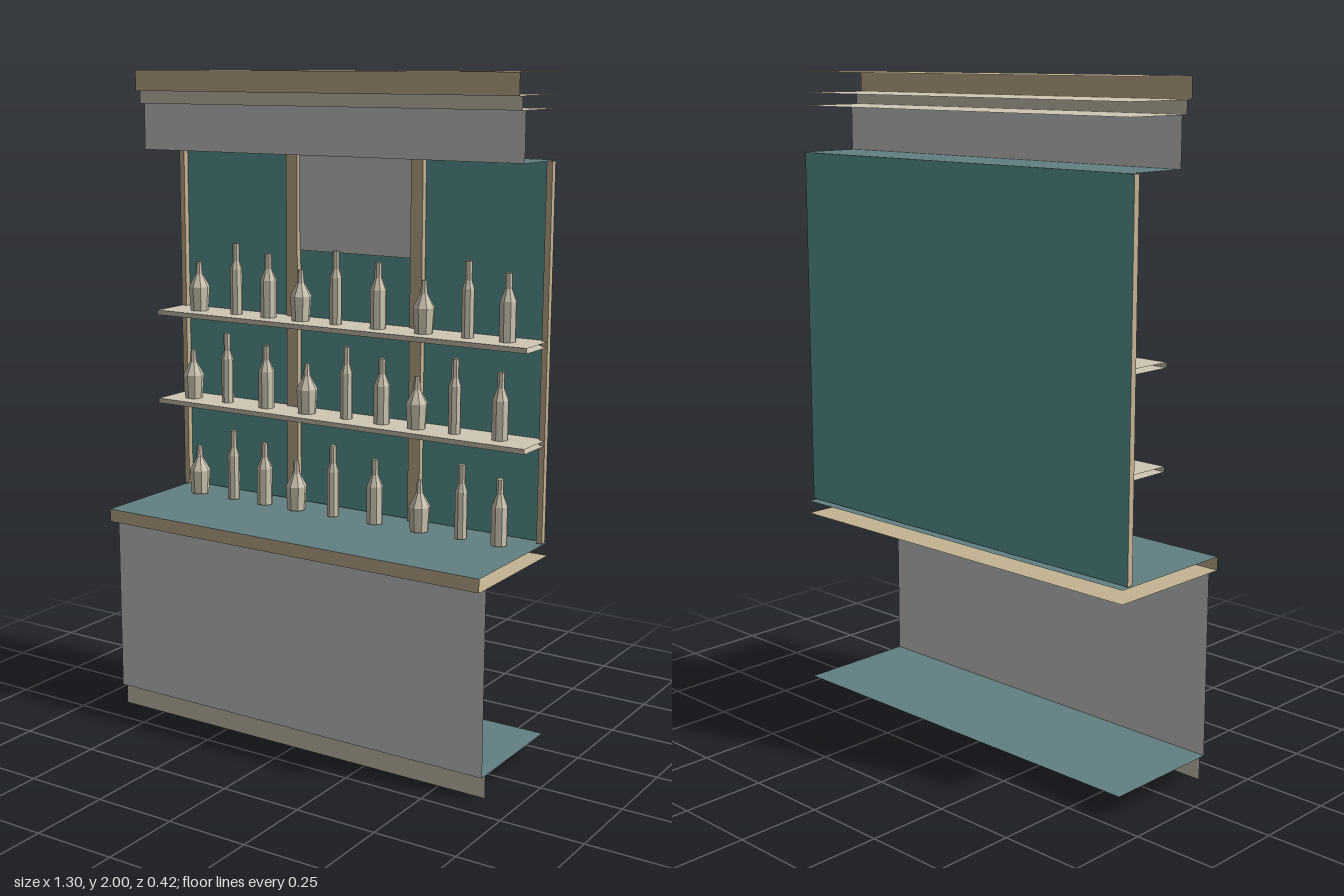
import * as THREE from 'three';

const paint = (name, color) => {
  const m = new THREE.MeshStandardMaterial({ color, side: THREE.DoubleSide, flatShading: true });
  m.name = name;
  return m;
};

export function createModel() {
  const tan = paint('tan wood', 0xc6b494);
  const cream = paint('cream wood', 0xd0c8b4);
  const grey = paint('pale grey', 0xcecece);
  const teal = paint('teal', 0x5d9d99);
  const slate = paint('slate', 0x638082);

  const W = 1.3, BACK = -0.21;
  const model = new THREE.Group();
  model.name = 'barUnit';

  // Upright sheet facing the front, between two heights
  const upright = (parent, name, mat, y0, y1, z, width = W) => {
    const m = new THREE.Mesh(new THREE.PlaneGeometry(width, y1 - y0), mat);
    m.name = name;
    m.position.set(0, (y0 + y1) / 2, z);
    parent.add(m);
  };
  // Level sheet, between two depths
  const level = (parent, name, mat, y, z0, z1) => {
    const m = new THREE.Mesh(new THREE.PlaneGeometry(W, z1 - z0).rotateX(-Math.PI / 2), mat);
    m.name = name;
    m.position.set(0, y, (z0 + z1) / 2);
    parent.add(m);
  };
  const section = (name) => {
    const g = new THREE.Group();
    g.name = name;
    model.add(g);
    return g;
  };

  // Base cabinet: open at the ends and back
  const base = section('baseCabinet');
  upright(base, 'toeKick', cream, 0, 0.068, 0.15);
  level(base, 'cabinetFloor', slate, 0.068, BACK, 0.17);
  upright(base, 'cabinetFront', grey, 0.068, 0.62, 0.17);

  // Counter
  const counter = section('counter');
  level(counter, 'counterTop', slate, 0.66, BACK, 0.21);
  upright(counter, 'counterEdge', tan, 0.62, 0.66, 0.21);
  level(counter, 'counterUnderside', tan, 0.62, BACK, 0.21);

  // Back wall with a pale panel in the upper middle
  const wall = section('backWall');
  upright(wall, 'backPanel', teal, 0.665, 1.758, -0.19);
  upright(wall, 'centrePanel', grey, 1.46, 1.758, -0.184, 0.4);

  // Posts, mirrored left and right
  for (const side of [-1, 1]) {
    for (const [name, x, w] of [['outerPost', 0.641, 0.018], ['innerPost', 0.22, 0.04]]) {
      const post = new THREE.Mesh(new THREE.BoxGeometry(w, 1.094, 0.019), tan);
      post.name = name;
      post.position.set(side * x, 1.211, -0.1795);
      wall.add(post);
    }
  }

  // Two shelves, open at the ends
  for (const y of [0.97, 1.255]) {
    const shelf = section('shelf');
    level(shelf, 'shelfTop', cream, y, -0.188, -0.042);
    upright(shelf, 'shelfEdge', cream, y - 0.015, y, -0.042);
    level(shelf, 'shelfUnderside', cream, y - 0.015, -0.188, -0.042);
  }

  // Canopy: fascia, trim and cornice stepping forward
  const canopy = section('canopy');
  level(canopy, 'fasciaUnderside', slate, 1.76, BACK, 0);
  upright(canopy, 'fascia', grey, 1.76, 1.9, 0);
  level(canopy, 'trimUnderside', cream, 1.9, BACK, 0.02);
  upright(canopy, 'trimEdge', cream, 1.9, 1.938, 0.02);
  level(canopy, 'trimTop', cream, 1.938, BACK, 0.02);
  level(canopy, 'corniceLip', tan, 1.938, 0.02, 0.04);
  upright(canopy, 'corniceEdge', tan, 1.938, 2, 0.04);
  level(canopy, 'corniceTop', tan, 2, BACK, 0.04);

  // Bottle shapes: radius and height pairs from base to mouth
  const lathe = (pts) => new THREE.LatheGeometry(pts.map(([r, y]) => new THREE.Vector2(r, y)), 8);
  const bottles = [
    lathe([[0, 0], [0.028, 0], [0.033, 0.075], [0.012, 0.115], [0.008, 0.155], [0, 0.155]]),
    lathe([[0, 0], [0.019, 0], [0.019, 0.14], [0.011, 0.165], [0.011, 0.22], [0, 0.22]]),
    lathe([[0, 0], [0.025, 0], [0.025, 0.115], [0.011, 0.15], [0.011, 0.195], [0, 0.195]]),
  ];
  const names = ['squatBottle', 'slimBottle', 'mediumBottle'];
  const rows = [
    { y: 0.665, z: -0.095, xs: [-0.53, -0.395, -0.275, -0.155, -0.02, 0.13, 0.285, 0.425, 0.55] },
    { y: 0.97, z: -0.115, xs: [-0.565, -0.43, -0.28, -0.128, 0.015, 0.14, 0.26, 0.387, 0.535] },
    { y: 1.255, z: -0.115, xs: [-0.537, -0.392, -0.27, -0.15, -0.023, 0.125, 0.28, 0.425, 0.552] },
  ];
  for (const { y, z, xs } of rows) {
    const row = section('bottleRow');
    xs.forEach((x, i) => {
      const b = new THREE.Mesh(bottles[i % 3], cream);
      b.name = names[i % 3];
      b.position.set(x, y, z);
      row.add(b);
    });
  }

  return model;
}
